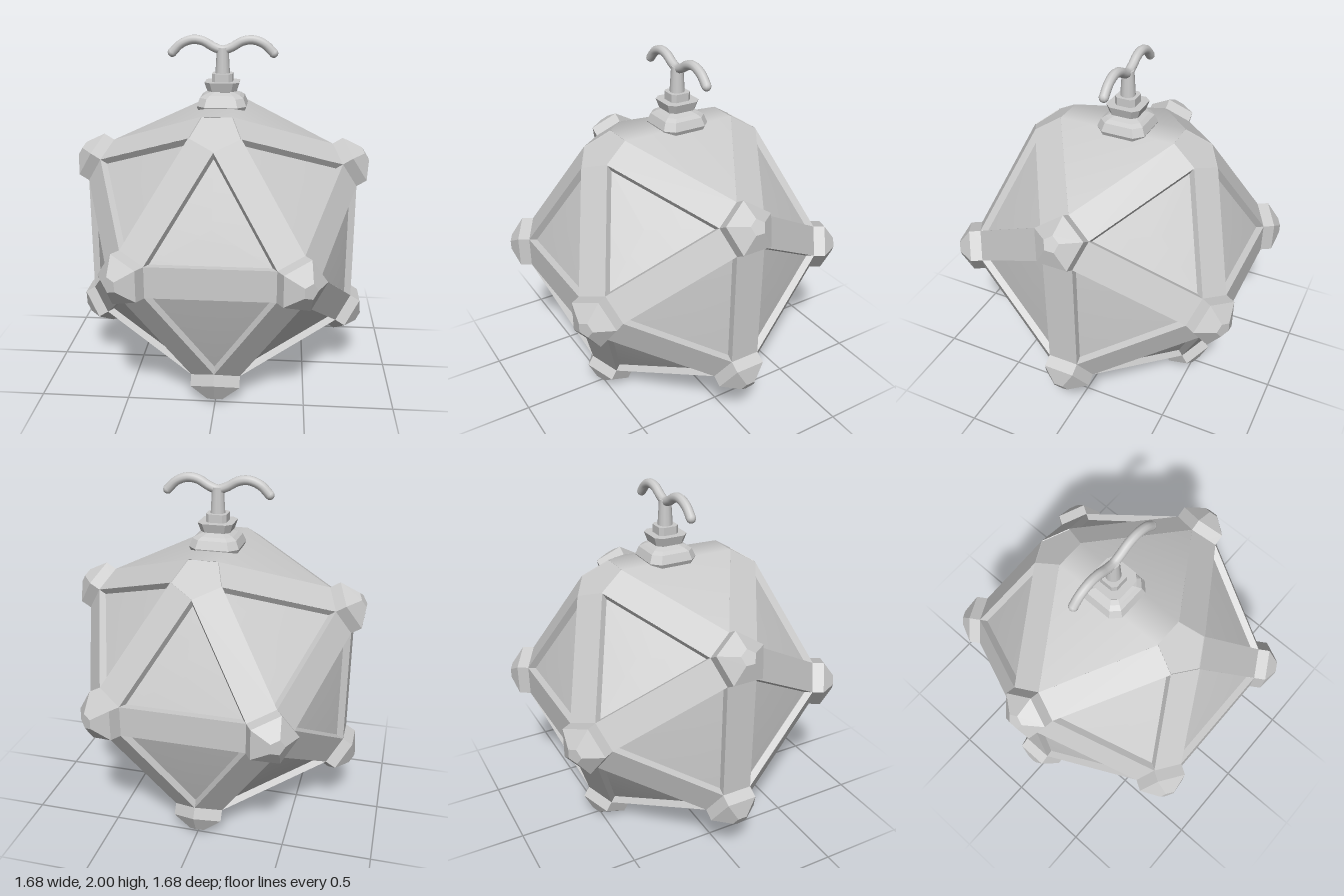
import * as THREE from 'three';
import { mergeVertices } from 'three/addons/utils/BufferGeometryUtils.js';

const CENTER_Y = 0.84;    // height of the ball's centre
const CORNER_A = 0.83;    // corner joints: distance from the centre along the axis
const CORNER_R = 0.146;   // corner joints: pentagon radius
const BEAM_FACE = 0.77;   // distance of beam outer faces from the centre

const flat = new THREE.MeshStandardMaterial({ color: 0xcccccc, flatShading: true });
const smooth = new THREE.MeshStandardMaterial({ color: 0xcccccc });

function add(parent, name, geometry, material) {
  const mesh = new THREE.Mesh(geometry, material);
  mesh.name = name;
  parent.add(mesh);
  return mesh;
}

// Twelve icosahedron axes (unscaled, edge length 2)
function icosahedronPoints() {
  const phi = (1 + Math.sqrt(5)) / 2, pts = [];
  for (const a of [-1, 1]) for (const b of [-phi, phi]) {
    pts.push(new THREE.Vector3(0, b, a), new THREE.Vector3(a, 0, b), new THREE.Vector3(b, a, 0));
  }
  return pts;
}

// Direction from a vertex axis toward a face centre, square to the axis
function sideDir(v, c) {
  const axis = v.clone().normalize();
  return c.clone().addScaledVector(axis, -c.dot(axis)).normalize();
}

// Pentagon corner at vertex v that touches the face centred on c
function corner(v, c) {
  return v.clone().setLength(CORNER_A).addScaledVector(sideDir(v, c), CORNER_R);
}

// Convex polygons fanned outward from the origin, welded for smooth normals
function polygonSurface(polys) {
  const out = [];
  for (const p of polys) {
    for (let i = 1; i < p.length - 1; i++) {
      const n = p[i].clone().sub(p[0]).cross(p[i + 1].clone().sub(p[0]));
      const tri = n.dot(p[0]) > 0 ? [p[0], p[i], p[i + 1]] : [p[0], p[i + 1], p[i]];
      tri.forEach((q) => out.push(q.x, q.y, q.z));
    }
  }
  const g = new THREE.BufferGeometry();
  g.setAttribute('position', new THREE.Float32BufferAttribute(out, 3));
  const welded = mergeVertices(g, 1e-4);
  welded.computeVertexNormals();
  return welded;
}

function buildBall() {
  const ball = new THREE.Group();
  ball.name = 'ball';
  const pts = icosahedronPoints();
  const near = (a, b) => Math.abs(a.distanceTo(b) - 2) < 0.01;
  const isTop = (v) => v.y > 1.5 && Math.abs(v.x) < 0.01;
  const faces = [], edges = [];
  pts.forEach((a, i) => pts.forEach((b, j) => {
    if (j <= i || !near(a, b)) return;
    edges.push([a, b]);
    pts.forEach((c, k) => {
      if (k > j && near(a, c) && near(b, c)) {
        faces.push({ v: [a, b, c], c: a.clone().add(b).add(c).normalize() });
      }
    });
  }));
  const cover = [];

  // Recessed triangular panels, gently bulged; the two at the top are flush
  for (const f of faces) {
    const tri = f.v.map((v) => corner(v, f.c));
    f.top = f.v.filter(isTop).length === 2;
    if (f.top) { cover.push(tri); continue; }
    tri.forEach((p) => p.addScaledVector(f.c, -0.035));
    const mid = tri[0].clone().add(tri[1]).add(tri[2]).divideScalar(3).addScaledVector(f.c, 0.012);
    add(ball, 'panel', polygonSurface([0, 1, 2].map((i) => [mid, tri[i], tri[(i + 1) % 3]])), smooth);
  }

  // Beams along the edges
  for (const [a, b] of edges) {
    const [f, g] = faces.filter((q) => q.v.includes(a) && q.v.includes(b));
    if (f.top || g.top) {
      cover.push([corner(a, f.c), corner(b, f.c), corner(b, g.c), corner(a, g.c)]);
      if (f.top && g.top) continue;
    }
    const along = b.clone().sub(a).normalize();
    const out = a.clone().add(b).normalize();
    const side = along.clone().cross(out);
    const beam = add(ball, 'beam', new THREE.BoxGeometry(0.68, 0.1, 0.171), flat);
    beam.quaternion.setFromRotationMatrix(new THREE.Matrix4().makeBasis(along, out, side));
    beam.position.copy(out).multiplyScalar(BEAM_FACE - 0.05);
  }

  // Smooth cover running over the top beam, its panels and the beams around them
  const coverMesh = add(ball, 'topCover', polygonSurface(cover), smooth);
  coverMesh.scale.setScalar(1.002);

  // Pentagonal corner joints; the top pair stays flush, the others carry caps
  for (const v of pts) {
    const axis = v.clone().normalize();
    const dir = sideDir(v, faces.find((f) => f.v.includes(v)).c);
    const joint = new THREE.Group();
    joint.name = isTop(v) ? 'flushCorner' : 'cornerCap';
    joint.quaternion.setFromRotationMatrix(
      new THREE.Matrix4().makeBasis(axis.clone().cross(dir), axis, dir));
    const rim = isTop(v) ? CORNER_A : 0.897;
    const block = add(joint, 'cornerBlock',
      new THREE.CylinderGeometry(CORNER_R, CORNER_R, rim - 0.7, 5), flat);
    block.position.y = (rim + 0.7) / 2;
    if (!isTop(v)) {
      const tip = add(joint, 'capTip', new THREE.CylinderGeometry(0.045, CORNER_R, 0.066, 5), flat);
      tip.position.y = rim + 0.033;
    }
    ball.add(joint);
  }
  ball.position.y = CENTER_Y;
  return ball;
}

// Stepped plinth with a chamfered square section
function plinthGeometry() {
  const profile = [[0, 1.585], [0.128, 1.585], [0.14, 1.615], [0.122, 1.66], [0.1, 1.675],
    [0.06, 1.69], [0.082, 1.695], [0.098, 1.745], [0.058, 1.745], [0.058, 1.79], [0, 1.79]];
  const g = new THREE.LatheGeometry(
    profile.map(([r, y]) => new THREE.Vector2(r, y)), 8, Math.PI / 8);
  const p = g.attributes.position;
  for (let i = 0; i < p.count; i++) {
    const x = p.getX(i), z = p.getZ(i), r = Math.hypot(x, z);
    const wide = Math.abs(x) > Math.abs(z);
    p.setX(i, Math.sign(x) * r * (wide ? 1 : 0.66));
    p.setZ(i, Math.sign(z) * r * (wide ? 0.66 : 1));
  }
  return g;
}

function buildHandle() {
  const handle = new THREE.Group();
  handle.name = 'handle';
  add(handle, 'plinth', plinthGeometry(), flat);
  const stem = add(handle, 'stem', new THREE.CylinderGeometry(0.033, 0.042, 0.15, 12), smooth);
  stem.position.y = 1.855;

  // Two curved arms sweeping up and then down
  const half = [[0.05, 1.933], [0.11, 1.966], [0.17, 1.974], [0.235, 1.95], [0.285, 1.902]];
  const path = [...half.map(([x, y]) => [-x, y]).reverse(), [0, 1.917], ...half]
    .map(([x, y]) => new THREE.Vector3(x, y, 0));
  add(handle, 'arms', new THREE.TubeGeometry(new THREE.CatmullRomCurve3(path), 32, 0.026, 10), smooth);
  for (const s of [-1, 1]) {
    const end = add(handle, 'armEnd', new THREE.SphereGeometry(0.026, 10, 8), smooth);
    end.position.set(s * 0.285, 1.902, 0);
  }
  handle.position.z = -0.033;
  return handle;
}

export function createModel() {
  const model = new THREE.Group();
  model.name = 'facetedOrnament';
  model.add(buildBall(), buildHandle());
  return model;
}
